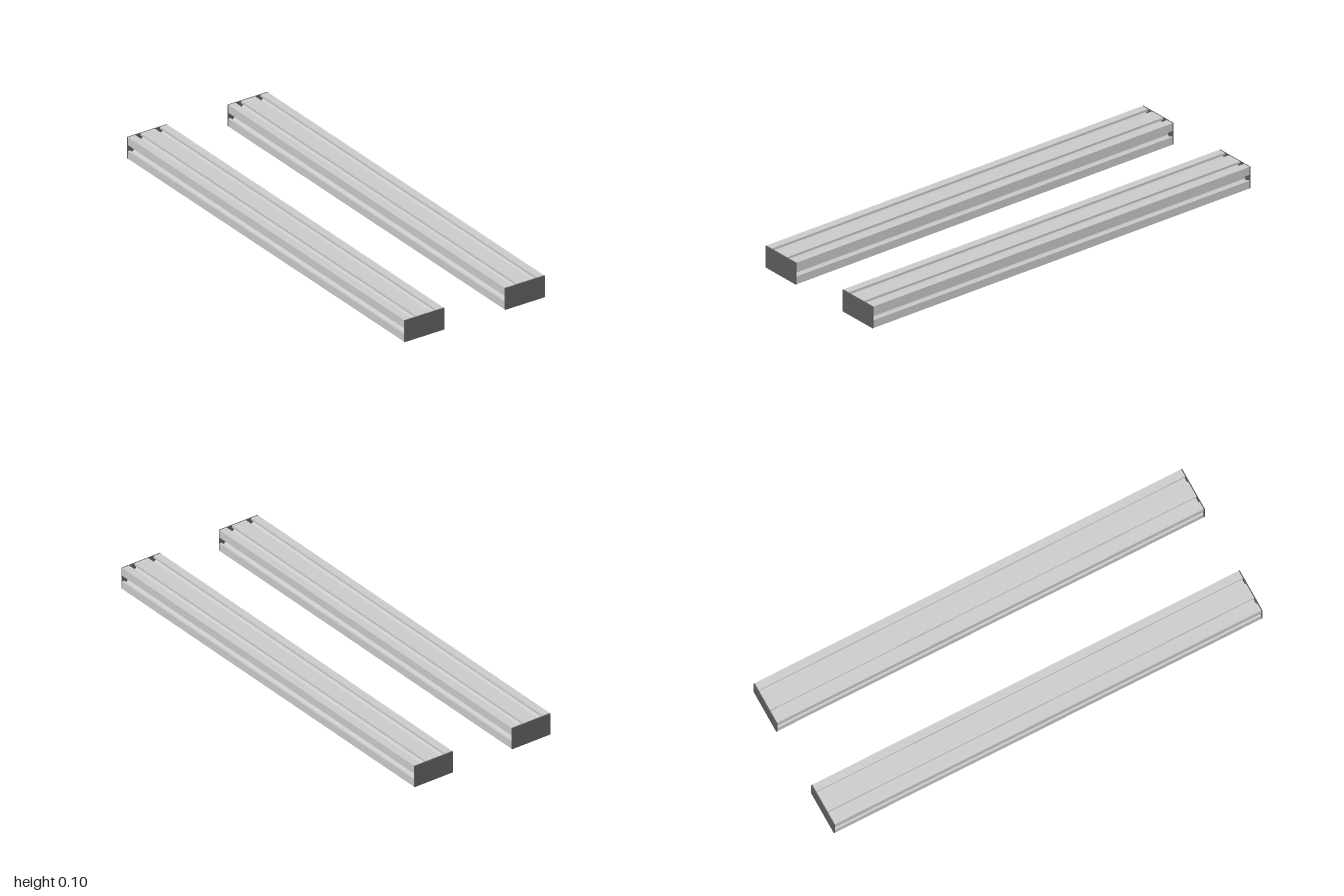
import * as THREE from 'three';

const W = 0.198, H = 0.1, LENGTH = 2, CAP = 0.005, RAIL_X = 0.252;

// Half of a T-slot: [distance from slot centre, depth below the face]
const SLOT = [[0.0135, 0], [0.0135, 0.01], [0.0275, 0.01], [0.0275, 0.018], [0.015, 0.03]];

// Closed outline of the extrusion, walked counter-clockwise face by face
function railShape() {
  const points = [];
  const faces = [
    { start: [-W / 2, -H / 2], dir: [1, 0], slots: [W / 4, 3 * W / 4] },  // bottom
    { start: [W / 2, -H / 2], dir: [0, 1], slots: [H / 2] },              // +x side
    { start: [W / 2, H / 2], dir: [-1, 0], slots: [W / 4, 3 * W / 4] },   // top
    { start: [-W / 2, H / 2], dir: [0, -1], slots: [H / 2] },             // -x side
  ];
  for (const { start, dir, slots } of faces) {
    const [dx, dy] = dir;
    // along the face by a, inward by d
    const add = (a, d) => points.push(
      new THREE.Vector2(start[0] + dx * a - dy * d, start[1] + dy * a + dx * d));
    add(0, 0);
    for (const s of slots) {
      for (const [w, d] of SLOT) add(s - w, d);
      for (const [w, d] of [...SLOT].reverse()) add(s + w, d);
    }
  }
  return new THREE.Shape(points);
}

export function createModel() {
  const model = new THREE.Group();
  model.name = 'slottedRails';

  const metal = new THREE.MeshStandardMaterial({ color: 0xcccccc });
  const dark = new THREE.MeshStandardMaterial({ color: 0x5c5c5c });

  const bodyLength = LENGTH - 2 * CAP;
  const bodyGeometry = new THREE.ExtrudeGeometry(railShape(), { depth: bodyLength, bevelEnabled: false });
  bodyGeometry.translate(0, 0, -bodyLength / 2);
  const capGeometry = new THREE.BoxGeometry(W, H, CAP);

  for (const side of [-1, 1]) {
    const rail = new THREE.Group();
    rail.name = side > 0 ? 'leftRail' : 'rightRail';
    rail.position.set(side * RAIL_X, H / 2, 0);

    // Extruded body with T-slots on all four faces
    const body = new THREE.Mesh(bodyGeometry, metal);
    body.name = 'railBody';
    rail.add(body);

    // Flat caps closing both ends
    for (const end of [-1, 1]) {
      const cap = new THREE.Mesh(capGeometry, dark);
      cap.name = end > 0 ? 'frontEndCap' : 'backEndCap';
      cap.position.z = end * (LENGTH - CAP) / 2;
      rail.add(cap);
    }
    model.add(rail);
  }
  return model;
}
